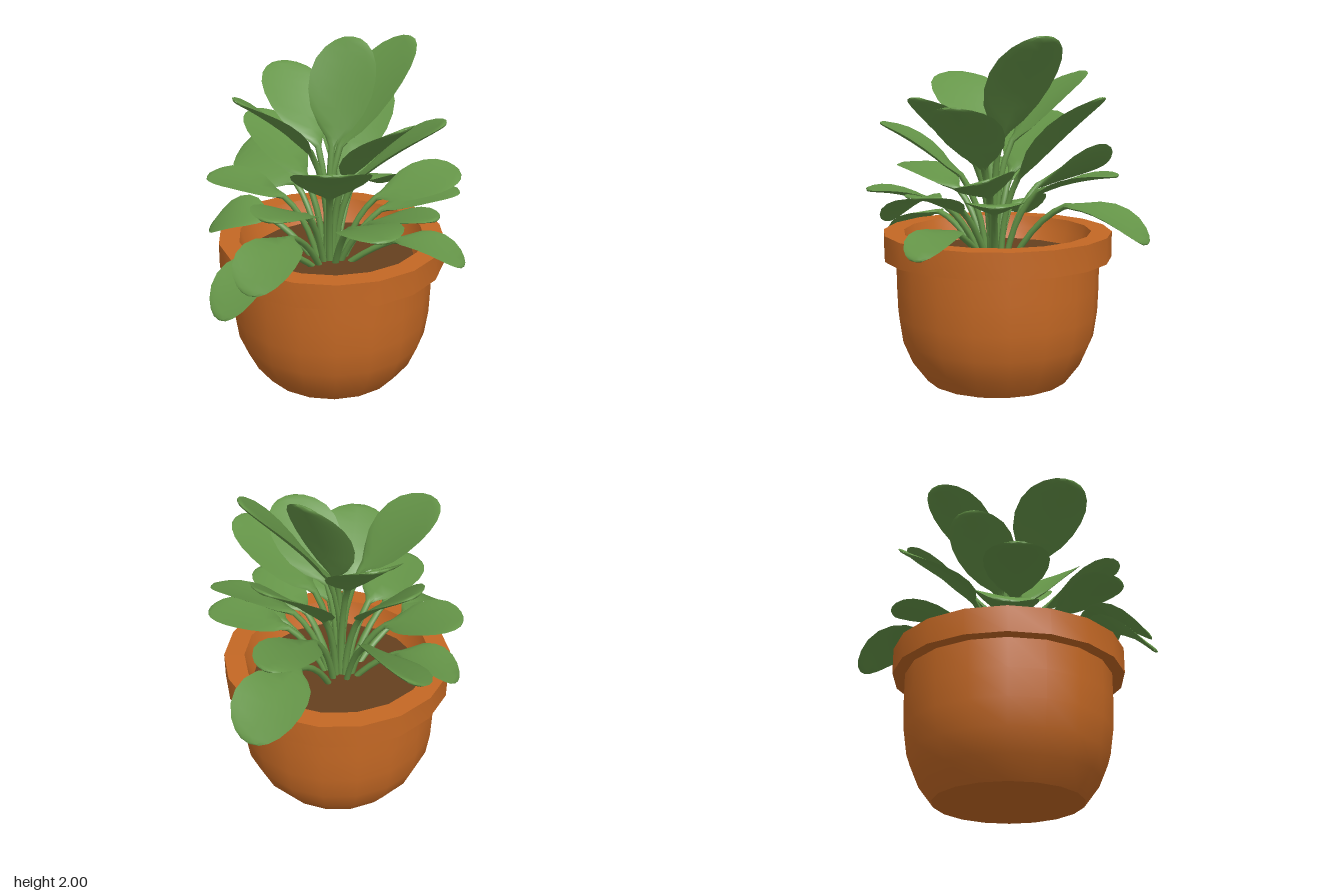
import * as THREE from 'three';
import { toCreasedNormals } from 'three/addons/utils/BufferGeometryUtils.js';

const V = (x, y, z) => new THREE.Vector3(x, y, z);

// Blade outline: [position along the blade, share of full half width]
const OUTLINE = [[0, 0.1], [0.07, 0.24], [0.16, 0.52], [0.3, 0.82], [0.45, 0.97], [0.6, 1],
  [0.74, 0.92], [0.86, 0.73], [0.94, 0.5], [0.985, 0.27], [1, 0.02]];

// Each leaf: tip x, y, z, height where the blade starts, full width, optional roll
const LEAVES = [
  // tall upright leaves
  [0.18, 2.0, -0.54, 1.42, 0.43],
  [-0.07, 2.0, -0.32, 1.42, 0.41],
  [-0.21, 1.79, 0.53, 1.42, 0.46],
  [-0.55, 1.8, -0.23, 1.4, 0.41],
  [-0.16, 1.67, -0.67, 1.2, 0.43],
  // middle leaves
  [0.56, 1.67, 0.06, 1.28, 0.44],
  [0.61, 1.63, -0.27, 1.26, 0.41],
  [0.42, 1.51, 0.51, 1.2, 0.44],
  [-0.57, 1.55, 0.02, 1.2, 0.39],
  [-0.82, 1.23, -0.21, 1.12, 0.47, -0.6],
  // spreading leaves
  [0.1, 1.23, 0.67, 1.1, 0.38],
  [-0.6, 1.23, 0.38, 1.12, 0.37],
  [0.66, 1.15, 0.36, 1.04, 0.36],
  [0.71, 1.15, -0.06, 1.02, 0.28],
  [0.6, 1.26, -0.48, 1.12, 0.34, 0.3],
  [0.56, 1.13, -0.54, 1.03, 0.32],
  [-0.22, 1.24, -0.73, 1.12, 0.35],
  // drooping leaves at the rim
  [0.1, 0.85, 0.82, 1.02, 0.38],
  [-0.05, 0.69, 0.9, 0.93, 0.34],
  [-0.65, 0.87, 0.32, 0.96, 0.36, -0.2],
  [0.81, 0.84, -0.2, 0.92, 0.3],
  [-0.28, 0.87, -0.9, 1.05, 0.43],
];

// One leaf: round stalk that flattens into a thin cupped blade
function leafGeometry([x, y, z, startY, width, roll = 0]) {
  // the lower the leaf, the further out its blade begins
  const reach = 0.53 - 0.3 * (y - 0.7);
  const start = V(x * reach, startY, z * reach), tip = V(x, y, z);
  const heading = V(x, 0, z).normalize();
  const side = V(0, 1, 0).cross(heading).applyAxisAngle(heading, roll);
  const base = V(start.x * 0.25, 0.7, start.z * 0.25 - 0.01);

  // drooping blades arch more
  const bend = start.clone().lerp(tip, 0.5);
  bend.y += y < startY ? 0.11 : 0.04;
  const bladeDir = bend.clone().sub(start).normalize();
  const control = start.clone().addScaledVector(bladeDir, -0.4 * base.distanceTo(start));
  control.lerp(base.clone().lerp(start, 0.5), 0.4);
  const stalk = new THREE.QuadraticBezierCurve3(base, control, start);
  const blade = new THREE.QuadraticBezierCurve3(start, bend, tip);

  // stations: centre, direction, half width, half thickness, cupping
  const stations = [];
  for (let i = 0; i < 5; i++) {
    const t = i / 5;
    stations.push([stalk.getPoint(t), stalk.getTangent(t), 0.022 - 0.004 * t, 0.018, 0]);
  }
  for (const [t, w] of OUTLINE) {
    const half = Math.max(w * width / 2, t < 0.1 ? 0.02 : 0);
    const thick = t === 1 ? 0.001 : 0.01 + 0.008 * Math.max(0, 1 - 3 * t);
    stations.push([blade.getPoint(t), blade.getTangent(t), half, thick, 0.14 * w * Math.min(1, t * 4)]);
  }

  const SIDES = 8, pos = [], index = [];
  stations.forEach(([c, tangent, half, thick, cup], i) => {
    const normal = tangent.clone().cross(side).normalize();
    for (let j = 0; j < SIDES; j++) {
      const a = j / SIDES * Math.PI * 2, s = Math.cos(a);
      const p = c.clone().addScaledVector(side, s * half)
        .addScaledVector(normal, Math.sin(a) * thick + cup * half * s * s);
      pos.push(p.x, p.y, p.z);
      if (i < stations.length - 1) {
        const k = i * SIDES, n = (j + 1) % SIDES;
        index.push(k + j, k + n, k + SIDES + j, k + n, k + SIDES + n, k + SIDES + j);
      }
    }
  });
  const g = new THREE.BufferGeometry();
  g.setAttribute('position', new THREE.Float32BufferAttribute(pos, 3));
  g.setIndex(index);
  return toCreasedNormals(g, 1.0);
}

function lathe(points, sides) {
  const g = new THREE.LatheGeometry(points.map(([r, y]) => new THREE.Vector2(r, y)), sides);
  return toCreasedNormals(g, 0.6);
}

export function createModel() {
  const model = new THREE.Group();
  const terracotta = new THREE.MeshStandardMaterial({ color: 0xc46824 });
  terracotta.name = 'terracotta';
  const leafGreen = new THREE.MeshStandardMaterial({ color: 0x659548 });
  leafGreen.name = 'leafGreen';
  const soilBrown = new THREE.MeshStandardMaterial({ color: 0x65401f });
  soilBrown.name = 'soilBrown';

  // Pot: rounded bowl, overhanging collar and inner wall
  const pot = new THREE.Group();
  pot.name = 'pot';
  pot.position.z = -0.03;
  const add = (name, geometry, material) => {
    const mesh = new THREE.Mesh(geometry, material);
    mesh.name = name;
    pot.add(mesh);
    return mesh;
  };
  add('potBody', lathe([[0, 0], [0.425, 0], [0.515, 0.12], [0.57, 0.25], [0.592, 0.4],
    [0.598, 0.56], [0.598, 0.735]], 18), terracotta);
  add('potRim', lathe([[0.59, 0.73], [0.67, 0.73], [0.67, 0.88], [0.55, 0.88],
    [0.53, 0.81], [0.49, 0.72]], 18), terracotta);
  const soil = add('soil', new THREE.CircleGeometry(0.51, 18), soilBrown);
  soil.rotation.x = -Math.PI / 2;
  soil.position.y = 0.74;
  model.add(pot);

  // Rosette of leaves
  const plant = new THREE.Group();
  plant.name = 'plant';
  LEAVES.forEach((leaf, i) => {
    const mesh = new THREE.Mesh(leafGeometry(leaf), leafGreen);
    mesh.name = `leaf${i + 1}`;
    plant.add(mesh);
  });
  model.add(plant);
  return model;
}
